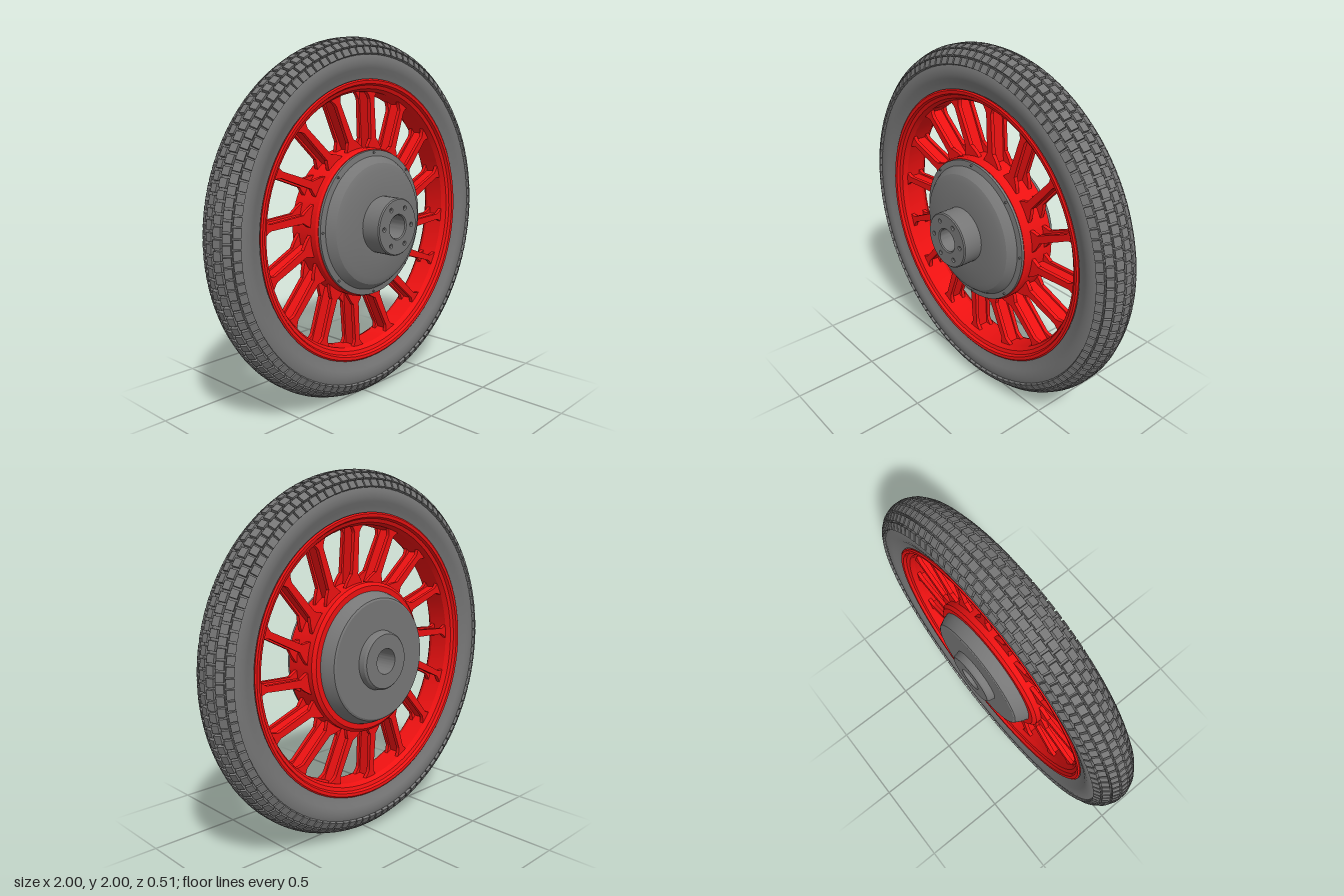
import * as THREE from 'three';
import { mergeGeometries, toCreasedNormals } from 'three/addons/utils/BufferGeometryUtils.js';

const MID = -0.04; // z of the wheel's middle plane
const red = new THREE.MeshStandardMaterial({ color: 0xee1111 });
const grey = new THREE.MeshStandardMaterial({ color: 0x777777 });

// Revolve [radius, z] points about the z axis, keeping edges crisp
function lathe(points, segments = 72) {
  const geo = new THREE.LatheGeometry(points.map(([r, z]) => new THREE.Vector2(r, z)), segments);
  return toCreasedNormals(geo.rotateX(Math.PI / 2), 0.45);
}

function ringOf(count, makeGeometry) {
  const list = [];
  for (let i = 0; i < count; i++) list.push(makeGeometry(i).rotateZ((i * 2 * Math.PI) / count));
  return mergeGeometries(list);
}

// Tyre carcass: rounded section reaching down to the rim beads
function tyreGeometry() {
  const points = [[0.765, -0.08], [0.782, -0.098]];
  for (let i = 0; i <= 20; i++) {
    const a = THREE.MathUtils.degToRad(-120 + 12 * i);
    points.push([0.87 + 0.114 * Math.cos(a), 0.122 * Math.sin(a)]);
  }
  points.push([0.782, 0.098], [0.765, 0.08], [0.765, -0.08]);
  return lathe(points.map(([r, z]) => [r, z + MID]), 96);
}

// Rows of tread blocks wrapped over the crown, alternate rows staggered
function treadGeometry() {
  const count = 110;
  const rows = [];
  for (let row = -3; row <= 3; row++) {
    const a = THREE.MathUtils.degToRad(21 * row);
    const stagger = (Math.abs(row) % 2) * (Math.PI / count);
    rows.push(ringOf(count, (i) =>
      new THREE.BoxGeometry(0.036, i % 2 ? 0.046 : 0.041, 0.039)
        .rotateY(-a)
        .translate(0.87 + 0.112 * Math.cos(a), 0, MID + 0.117 * Math.sin(a))
        .rotateZ(stagger)));
  }
  return mergeGeometries(rows);
}

// Rim: deep barrel with a raised lip on both edges
function rimGeometry() {
  const front = [[0.775, 0.09], [0.78, 0.102], [0.772, 0.108], [0.755, 0.106], [0.747, 0.09], [0.728, 0.082], [0.714, 0.055]];
  const back = front.map(([r, z]) => [r, -z]).reverse();
  const loop = [...front, ...back, front[0]];
  return lathe(loop.map(([r, z]) => [r, z + MID]));
}

// Spoke: slanted I-beam whose flanges flare into hub ring and rim
function spokeGeometry() {
  const polar = (r, deg) => new THREE.Vector2(r, 0).rotateAround(new THREE.Vector2(), THREE.MathUtils.degToRad(deg));
  const root = polar(0.392, 78.8);
  const tip = polar(0.725, 85.5);
  const along = tip.clone().sub(root);
  const L = along.length();
  const shape = new THREE.Shape();
  shape.moveTo(0, -0.065);
  shape.quadraticCurveTo(0.04, -0.05, 0.075, -0.021);
  shape.lineTo(L - 0.05, -0.017);
  shape.quadraticCurveTo(L - 0.025, -0.025, L, -0.05);
  shape.lineTo(L, 0.05);
  shape.quadraticCurveTo(L - 0.025, 0.025, L - 0.05, 0.017);
  shape.lineTo(0.075, 0.021);
  shape.quadraticCurveTo(0.04, 0.05, 0, 0.065);
  const flange = (z) => new THREE.ExtrudeGeometry(shape, { depth: 0.022, bevelEnabled: false, curveSegments: 5 }).translate(0, 0, z);
  const web = new THREE.BoxGeometry(L, 0.016, 0.08).translate(L / 2, 0, 0);
  return mergeGeometries([flange(0.032), flange(-0.054), web.toNonIndexed()])
    .rotateZ(along.angle())
    .translate(root.x, root.y, MID);
}

// Front boss with a bore and six bolt holes
function bossGeometry() {
  const shape = new THREE.Shape().absarc(0, 0, 0.15, 0, Math.PI * 2);
  shape.holes.push(new THREE.Path().absarc(0, 0, 0.07, 0, Math.PI * 2, true));
  for (let i = 0; i < 6; i++) {
    const a = (i * Math.PI) / 3;
    shape.holes.push(new THREE.Path().absarc(0.112 * Math.cos(a), 0.112 * Math.sin(a), 0.013, 0, Math.PI * 2, true));
  }
  const geo = new THREE.ExtrudeGeometry(shape, {
    depth: 0.111, bevelThickness: 0.006, bevelSize: 0.006, bevelSegments: 1, curveSegments: 20,
  });
  return toCreasedNormals(geo.translate(0, 0, 0.138), 0.45);
}

export function createModel() {
  const wheel = new THREE.Group();
  wheel.name = 'wheel';
  wheel.position.y = 1;
  const add = (name, geometry, material) => {
    const mesh = new THREE.Mesh(geometry, material);
    mesh.name = name;
    wheel.add(mesh);
  };

  add('tyre', tyreGeometry(), grey);
  add('treadBlocks', treadGeometry(), grey);
  add('rim', rimGeometry(), red);
  add('spokes', ringOf(16, spokeGeometry), red);

  // Red drum carrying the spokes
  add('hubRing', lathe([
    [0.36, -0.14], [0.395, -0.14], [0.413, -0.125], [0.413, 0.05], [0.405, 0.062], [0.36, 0.062], [0.36, -0.14],
  ]), red);

  // Grey hub: back boss, back cover, front flange and domed front cover round an open bore
  add('hub', lathe([
    [0.07, -0.255], [0.148, -0.255], [0.157, -0.245], [0.163, -0.213], [0.325, -0.213], [0.335, -0.208],
    [0.358, -0.165], [0.372, -0.12], [0.372, 0.06], [0.402, 0.06], [0.402, 0.076], [0.37, 0.08], [0.357, 0.1],
    [0.335, 0.123], [0.3, 0.136], [0.155, 0.142], [0.07, 0.142], [0.07, -0.255],
  ]), grey);
  add('frontBoss', bossGeometry(), grey);

  // Small screws round the front flange
  add('flangeScrews', ringOf(8, () =>
    new THREE.CylinderGeometry(0.006, 0.006, 0.012, 8).rotateX(Math.PI / 2).translate(0.389, 0, 0.08)), grey);

  const model = new THREE.Group();
  model.name = 'spokedWheel';
  model.add(wheel);
  return model;
}
